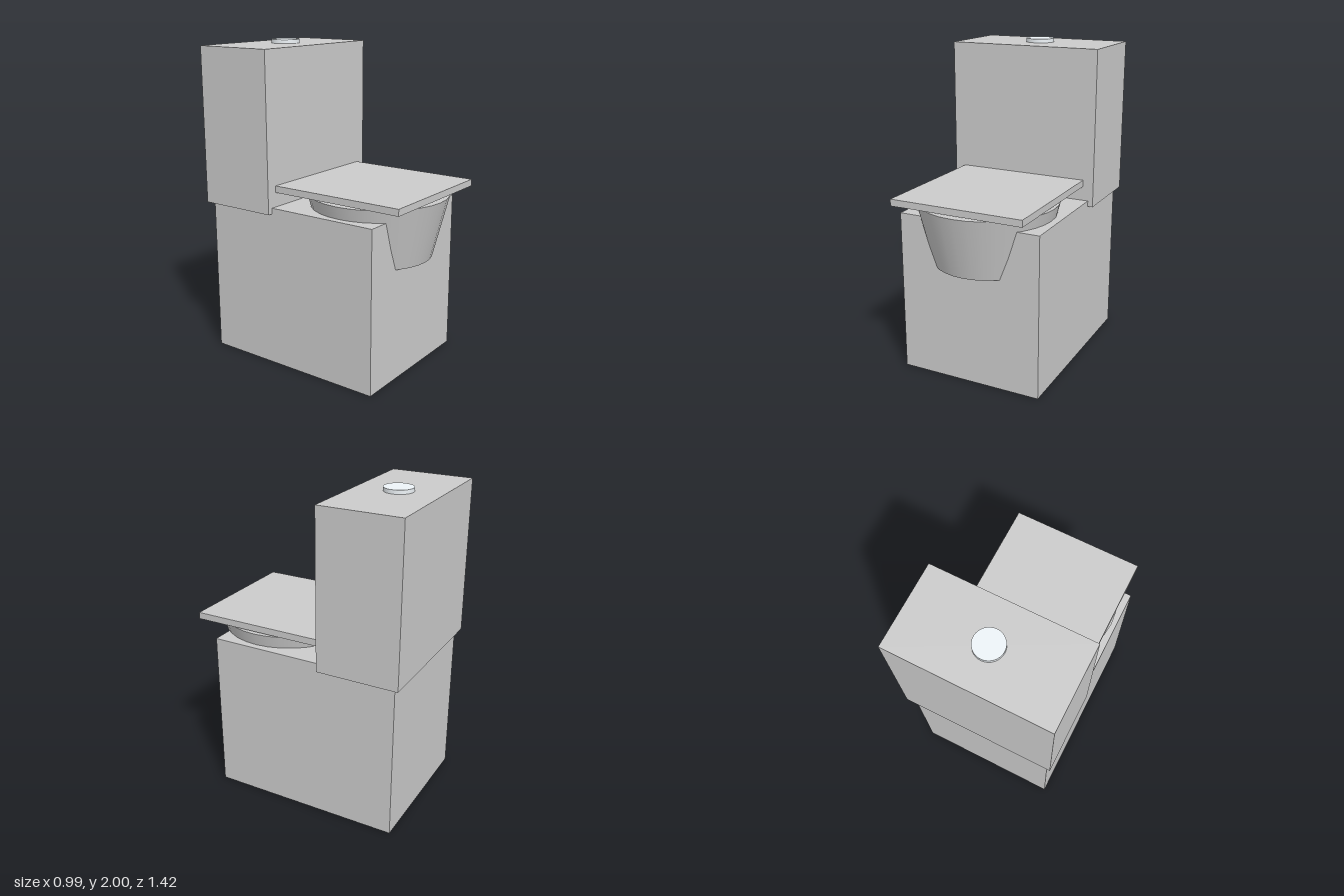
import * as THREE from 'three';

export function createModel() {
  const group = new THREE.Group();
  const ceramic = new THREE.MeshStandardMaterial({ color: 0xcccccc });
  const buttonMaterial = new THREE.MeshStandardMaterial({ color: 0xeef4f8 });

  const add = (name, geometry, x, y, z, material = ceramic) => {
    const mesh = new THREE.Mesh(geometry, material);
    mesh.name = name;
    mesh.position.set(x, y, z);
    group.add(mesh);
  };
  // Box given by its width and its y and z ranges
  const addBox = (name, width, y0, y1, z0, z1) =>
    add(name, new THREE.BoxGeometry(width, y1 - y0, z1 - z0), 0, (y0 + y1) / 2, (z0 + z1) / 2);

  // Pedestal, cistern and closed lid
  addBox('base', 0.925, 0, 1.027, -0.678, 0.538);
  addBox('tank', 0.99, 0.99, 1.976, -0.711, -0.192);
  addBox('lid', 0.853, 1.117, 1.159, -0.2, 0.687);

  // Tapered bowl, partly sunk into the base and reaching out in front of it
  add('bowl', new THREE.CylinderGeometry(0.438, 0.34, 0.392, 32), 0, 0.91, 0.273);

  // Flush button on top of the tank
  add('flushButton', new THREE.CylinderGeometry(0.09, 0.09, 0.024, 32), 0, 1.988, -0.452, buttonMaterial);

  return group;
}
